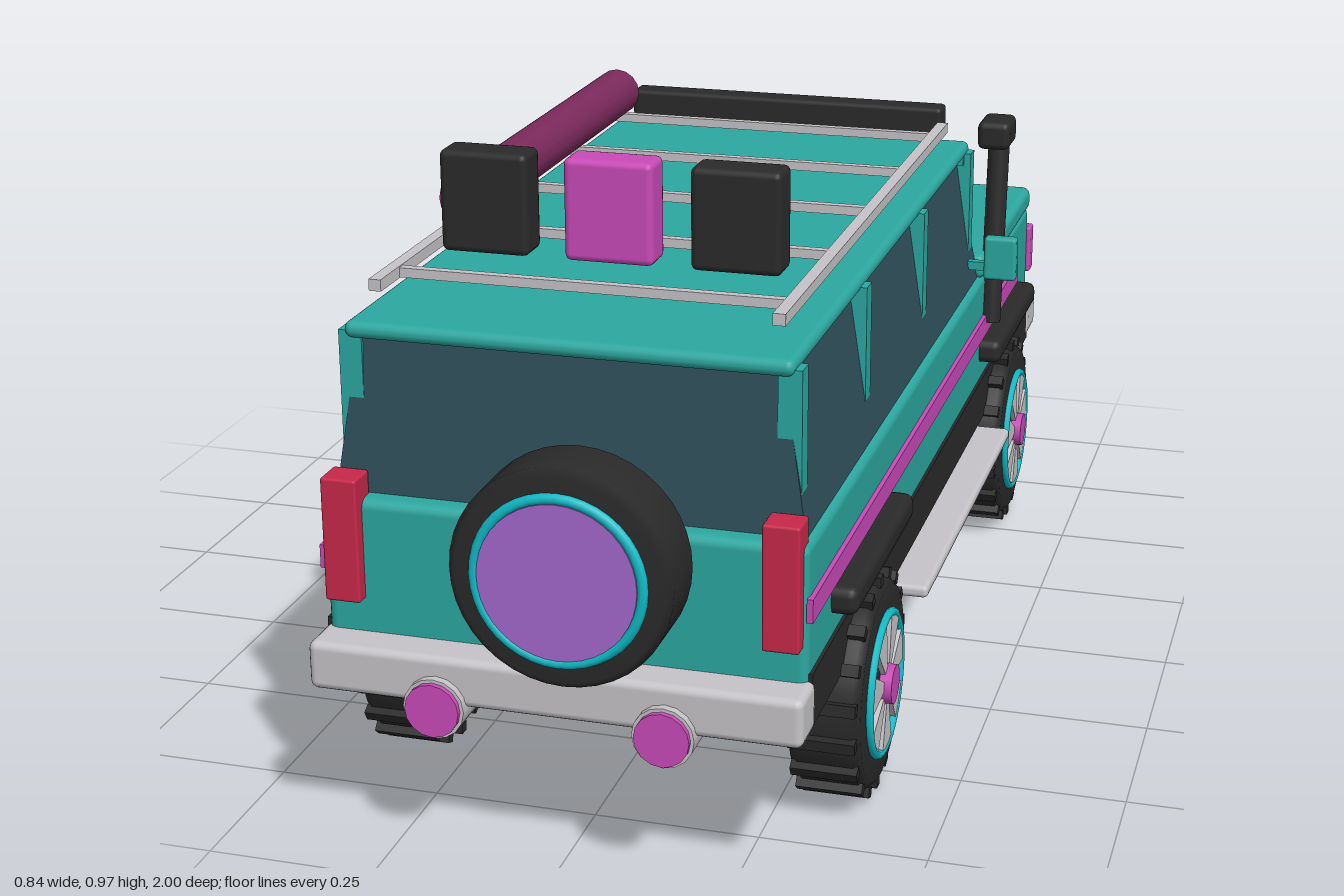
import * as THREE from 'three';
import { RoundedBoxGeometry } from 'three/addons/geometries/RoundedBoxGeometry.js';

const mat = (name, color) => {
  const m = new THREE.MeshStandardMaterial({ color });
  m.name = name;
  return m;
};

export function createModel() {
  const teal = mat('teal paint', 0x2ca8a0), black = mat('black rubber', 0x2a2a2a);
  const glass = mat('dark glass', 0x2f505c), grey = mat('light metal', 0xc6c4c8);
  const pink = mat('pink accent', 0xc94ab8), maroon = mat('maroon cloth', 0x7c2a5c);
  const purple = mat('purple cover', 0xa468cc), cyan = mat('cyan glow', 0x10bcc8);
  const red = mat('red lamp', 0xc8284a);

  const car = new THREE.Group();
  car.name = 'offRoadCar';

  const add = (name, geo, m, x = 0, y = 0, z = 0, parent = car) => {
    const mesh = new THREE.Mesh(geo, m);
    mesh.name = name;
    mesh.position.set(x, y, z);
    parent.add(mesh);
    return mesh;
  };
  // Box given by its extents; r > 0 rounds the edges
  const box = (name, m, [x0, x1], [y0, y1], [z0, z1], r = 0, parent = car) => {
    const s = [x1 - x0, y1 - y0, z1 - z0];
    const geo = r ? new RoundedBoxGeometry(...s, 2, r) : new THREE.BoxGeometry(...s);
    return add(name, geo, m, (x0 + x1) / 2, (y0 + y1) / 2, (z0 + z1) / 2, parent);
  };
  // Same box on both sides of the car
  const pair = (name, m, [x0, x1], ys, zs, r = 0) => {
    box(name + 'Left', m, [x0, x1], ys, zs, r);
    box(name + 'Right', m, [-x1, -x0], ys, zs, r);
  };
  // Round bar between two points
  const rod = (name, m, a, b, r, parent = car) => {
    const p = new THREE.Vector3(...a), q = new THREE.Vector3(...b);
    const d = q.clone().sub(p);
    const mesh = add(name, new THREE.CylinderGeometry(r, r, d.length(), 16), m, 0, 0, 0, parent);
    mesh.position.copy(p).add(q).multiplyScalar(0.5);
    mesh.quaternion.setFromUnitVectors(new THREE.Vector3(0, 1, 0), d.normalize());
    return mesh;
  };

  // Lower body, bonnet and trim
  box('body', teal, [-0.352, 0.352], [0.25, 0.52], [-0.9, 0.88], 0.015);
  box('bonnet', teal, [-0.355, 0.355], [0.515, 0.56], [-0.9, -0.4], 0.015);
  box('bonnetScoop', black, [-0.11, 0.11], [0.55, 0.585], [-0.72, -0.465], 0.006);
  pair('sill', black, [0.34, 0.357], [0.25, 0.33], [-0.9, 0.87]);
  pair('sideStripe', pink, [0.35, 0.359], [0.41, 0.445], [-0.75, 0.88]);
  pair('rearFlare', black, [0.33, 0.39], [0.362, 0.405], [0.355, 0.745], 0.015);
  pair('frontFlare', black, [0.33, 0.39], [0.362, 0.405], [-0.78, -0.39], 0.015);
  pair('sideStep', grey, [0.34, 0.412], [0.225, 0.245], [-0.39, 0.35], 0.008);
  box('underGlow', cyan, [-0.26, 0.26], [0.198, 0.206], [-0.75, 0.73]);

  // Glass cabin, narrower at the top, with upright pillars sinking into it
  const cabin = new THREE.BoxGeometry(1, 1, 1);
  const p = cabin.attributes.position;
  for (let i = 0; i < p.count; i++) {
    const top = p.getY(i) > 0;
    const z = p.getZ(i) > 0 ? (top ? 0.835 : 0.85) : (top ? -0.365 : -0.41);
    p.setXYZ(i, Math.sign(p.getX(i)) * (top ? 0.305 : 0.342), top ? 0.752 : 0.515, z);
  }
  cabin.computeVertexNormals();
  add('cabinGlass', cabin, glass);
  for (const z of [0.825, 0.44, 0.025, -0.375])
    pair('pillar', teal, [0.298, 0.332], [0.515, 0.755], [z - 0.016, z + 0.016]);
  box('windscreenHeader', teal, [-0.32, 0.32], [0.735, 0.755], [-0.39, -0.35]);
  box('roof', teal, [-0.322, 0.322], [0.745, 0.77], [-0.4, 0.85], 0.012);
  pair('mirror', teal, [0.363, 0.42], [0.535, 0.612], [-0.365, -0.34], 0.006);
  pair('mirrorArm', teal, [0.32, 0.37], [0.55, 0.565], [-0.36, -0.345]);

  // Front face
  box('grillePanel', grey, [-0.325, 0.325], [0.385, 0.485], [-0.912, -0.89]);
  for (let i = -3; i <= 3; i++)
    box('grilleSlot', black, [i * 0.05 - 0.016, i * 0.05 + 0.016], [0.392, 0.478], [-0.917, -0.911]);
  pair('turnSignal', pink, [0.325, 0.36], [0.39, 0.48], [-0.92, -0.885], 0.005);
  box('frontBumper', grey, [-0.36, 0.36], [0.255, 0.33], [-0.975, -0.88], 0.015);
  box('winch', black, [-0.09, 0.09], [0.275, 0.335], [-0.998, -0.95], 0.008);
  for (const x of [-0.2, 0.2]) rod('bullBarUpright', grey, [x, 0.25, -0.978], [x, 0.545, -0.978], 0.012);
  rod('bullBarTop', grey, [-0.212, 0.542, -0.978], [0.212, 0.542, -0.978], 0.012);

  // Rear face
  box('rearBumper', grey, [-0.36, 0.36], [0.247, 0.32], [0.86, 0.938], 0.012);
  pair('tailLight', red, [0.292, 0.345], [0.37, 0.555], [0.85, 0.9], 0.004);
  for (const x of [-0.167, 0.167]) {
    rod('exhaustPipe', grey, [x, 0.247, 0.85], [x, 0.247, 0.95], 0.045);
    rod('exhaustTip', pink, [x, 0.247, 0.94], [x, 0.247, 0.958], 0.04);
  }

  // Lathed tyre: axis along y, closed on both flanks
  const tyreGeo = (R, r, w) => new THREE.LatheGeometry([
    [r, -w / 2], [R * 0.93, -w / 2], [R, -w / 2 + 0.012], [R, w / 2 - 0.012], [R * 0.93, w / 2], [r, w / 2],
  ].map(([a, b]) => new THREE.Vector2(a, b)), 40);

  // Spare wheel
  const spare = new THREE.Group();
  spare.name = 'spareWheel';
  spare.position.set(0.035, 0.48, 0.935);
  spare.rotation.x = Math.PI / 2;
  car.add(spare);
  add('spareTyre', tyreGeo(0.159, 0.05, 0.11), black, 0, 0, 0, spare);
  add('spareRing', new THREE.TorusGeometry(0.119, 0.008, 8, 40), cyan, 0, 0.055, 0, spare).rotation.x = Math.PI / 2;
  add('spareCover', new THREE.CylinderGeometry(0.113, 0.113, 0.02, 40), purple, 0, 0.052, 0, spare);

  // Road wheels: local +y points outwards
  const wedge = new THREE.Shape();
  wedge.moveTo(0.03, -0.008);
  wedge.lineTo(0.1, -0.029);
  wedge.lineTo(0.105, 0);
  wedge.lineTo(0.1, 0.029);
  wedge.lineTo(0.03, 0.008);
  const wedgeGeo = new THREE.ExtrudeGeometry(wedge, { depth: 0.009, bevelEnabled: false });
  wedgeGeo.rotateX(-Math.PI / 2);
  const makeWheel = (side, z) => {
    const w = new THREE.Group();
    w.name = 'wheel';
    w.position.set(side * 0.333, 0.173, z);
    w.rotation.z = -side * Math.PI / 2;
    car.add(w);
    add('tyre', tyreGeo(0.16, 0.1, 0.108), black, 0, 0, 0, w);
    for (let i = 0; i < 18; i++) {
      const a = i / 18 * Math.PI * 2;
      const lug = add('treadLug', new THREE.BoxGeometry(0.016, 0.1, 0.018), black,
        Math.cos(a) * 0.164, 0, Math.sin(a) * 0.164, w);
      lug.rotation.y = -a;
    }
    add('rimBack', new THREE.CylinderGeometry(0.102, 0.102, 0.1, 32), black, 0, 0.004, 0, w);
    add('innerDisc', new THREE.CylinderGeometry(0.104, 0.104, 0.01, 32), grey, 0, -0.052, 0, w);
    add('rimRing', new THREE.TorusGeometry(0.107, 0.007, 8, 40), cyan, 0, 0.057, 0, w).rotation.x = Math.PI / 2;
    for (let i = 0; i < 7; i++)
      add('spoke', wedgeGeo, grey, 0, 0.053, 0, w).rotation.y = i / 7 * Math.PI * 2;
    add('hubCap', new THREE.CylinderGeometry(0.03, 0.03, 0.03, 20), pink, 0, 0.058, 0, w);
  };
  for (const side of [-1, 1]) for (const z of [0.55, -0.582]) makeWheel(side, z);

  // Roof rack with its load
  for (const x of [-0.29, 0.29]) box('rackRail', grey, [x - 0.009, x + 0.009], [0.803, 0.82], [-0.31, 0.805]);
  for (const z of [0.73, 0.487, 0.245, 0.003, -0.24])
    box('rackBar', grey, [-0.29, 0.29], [0.804, 0.818], [z - 0.007, z + 0.007]);
  box('lightBar', black, [-0.28, 0.28], [0.787, 0.835], [-0.395, -0.347], 0.008);
  for (let i = 0; i < 6; i++) {
    const x = (i - 2.5) * 0.088;
    box('lightBarLamp', grey, [x - 0.034, x + 0.034], [0.796, 0.826], [-0.4, -0.393]);
  }
  [[-0.186, black], [0, pink], [0.186, black]].forEach(([x, m]) =>
    box('fuelCan', m, [x - 0.066, x + 0.066], [0.82, 0.97], [0.59, 0.65], 0.01));
  rod('awningRoll', maroon, [-0.27, 0.858, -0.23], [-0.27, 0.858, 0.51], 0.039);

  // Raised air intake
  rod('intakePipe', black, [0.362, 0.43, -0.433], [0.362, 0.765, -0.473], 0.019);
  box('intakeHead', black, [0.334, 0.391], [0.753, 0.803], [-0.483, -0.4], 0.012);

  return car;
}
